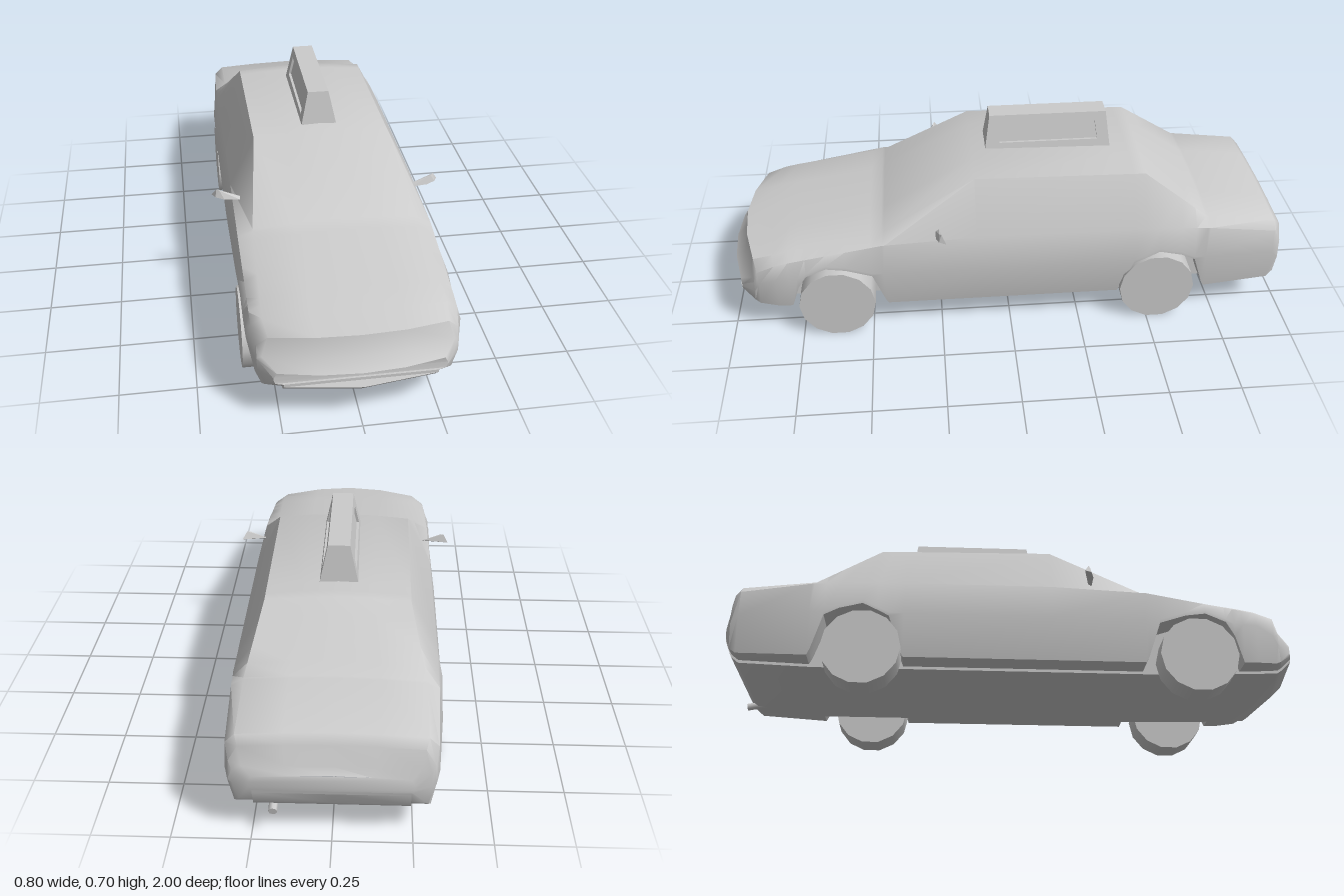
import * as THREE from 'three';
import { toCreasedNormals, mergeVertices } from 'three/addons/utils/BufferGeometryUtils.js';
import { ConvexGeometry } from 'three/addons/geometries/ConvexGeometry.js';

const grey = new THREE.MeshStandardMaterial({ color: 0xcccccc });
const { lerp, clamp } = THREE.MathUtils;

function part(name, geometry, parent) {
  const mesh = new THREE.Mesh(geometry, grey);
  mesh.name = name;
  parent.add(mesh);
  return mesh;
}

// Body stations, front to back:
// z, floor y, sill x, waist x, waist y, shoulder x, shoulder y, top edge x, top edge y, centre y
const stations = [
  [1.0, .16, .26, .27, .18, .27, .19, .26, .21, .215],
  [.965, .125, .29, .315, .19, .315, .23, .30, .24, .25],
  [.95, .115, .30, .32, .22, .315, .27, .28, .305, .32],
  [.85, .11, .315, .34, .25, .325, .30, .29, .325, .338],
  [.45, .10, .32, .345, .26, .33, .37, .28, .39, .405],
  [.12, .10, .32, .35, .26, .33, .385, .24, .568, .584],
  [-.48, .10, .32, .35, .26, .33, .385, .24, .558, .573],
  [-.70, .10, .32, .345, .26, .33, .375, .29, .40, .413],
  [-.95, .11, .30, .325, .25, .32, .34, .29, .37, .382],
  [-.975, .13, .29, .315, .22, .31, .29, .28, .345, .355],
  [-.98, .14, .28, .30, .21, .30, .26, .27, .275, .28],
  [-1.0, .19, .24, .25, .21, .25, .23, .24, .25, .26],
];
// Lower edge of the wheel arches: z, y
const arches = [
  [.78, .10], [.75, .21], [.72, .26], [.65, .29], [.58, .28], [.49, .25], [.44, .10],
  [-.39, .10], [-.44, .25], [-.53, .295], [-.61, .275], [-.66, .25], [-.71, .10],
];

// Row of a table (sorted by falling first column), interpolated at z
function sample(table, z) {
  let i = 0;
  while (i < table.length - 2 && table[i + 1][0] > z) i++;
  const a = table[i], b = table[i + 1];
  const t = clamp((a[0] - z) / (a[0] - b[0]), 0, 1);
  return a.map((v, k) => lerp(v, b[k], t));
}

// Closed outline of the body at z, counter-clockwise from the floor centre
function section(z) {
  const [, floor, sx, wx, wy, hx, hy, tx, ty, cy] = sample(stations, z);
  const arch = Math.max(floor + .01, sample(arches, z)[1]);
  const lx = lerp(sx, wx, clamp((arch - floor) / (wy - floor), 0, 1));
  const half = [
    [0, floor], [.24, floor], [.24, arch], [lx, arch],
    [wx, Math.max(wy, arch + .012)], [hx, hy], [tx, ty],
    [tx * .5, lerp(ty, cy, .7)], [0, cy],
  ];
  const mirrored = half.slice(1, -1).reverse().map(([x, y]) => [-x, y]);
  const nose = .6 * clamp((z - .8) / .15, 0, 1);
  return [...half, ...mirrored].map(([x, y]) => [x, y, z - nose * x * x]);
}

function bodyGeometry() {
  const zs = [...new Set([...stations, ...arches].map(r => r[0]))].sort((a, b) => b - a);
  const rings = zs.map(section);
  const n = rings[0].length, last = rings.length - 1;
  const index = [];
  for (let i = 0; i < last; i++) {
    for (let j = 0; j < n; j++) {
      const a = i * n + j, b = i * n + (j + 1) % n, c = b + n, d = a + n;
      index.push(a, d, c, a, c, b);
    }
  }
  // Nose and tail caps
  for (let j = 0; j < n / 2 - 1; j++) {
    const l = (n - j) % n, k = n - j - 1, e = last * n;
    index.push(j, j + 1, k, j, k, l);
    index.push(e + j, e + k, e + j + 1, e + j, e + l, e + k);
  }
  const geo = new THREE.BufferGeometry();
  geo.setAttribute('position', new THREE.Float32BufferAttribute(rings.flat(2), 3));
  geo.setIndex(index);
  return toCreasedNormals(mergeVertices(geo), .75);
}

// Extrude a (z, y) shape across x and narrow it towards the top
function taperedSign(shape, halfWidth) {
  const geo = new THREE.ExtrudeGeometry(shape, { depth: 2, bevelEnabled: false });
  geo.translate(0, 0, -1);
  geo.rotateY(-Math.PI / 2);
  const p = geo.attributes.position;
  for (let i = 0; i < p.count; i++) {
    const t = (p.getY(i) - .565) / .135;
    p.setX(i, p.getX(i) * (halfWidth - .029 * t));
  }
  geo.computeVertexNormals();
  return geo;
}

const polygon = pts => pts.map(([x, y]) => new THREE.Vector2(x, y));

export function createModel() {
  const car = new THREE.Group();
  car.name = 'car';
  part('body', bodyGeometry(), car);

  // Wheels
  const wheelGeo = new THREE.CylinderGeometry(.135, .135, .1, 14).rotateZ(Math.PI / 2);
  for (const [end, z] of [['front', .62], ['rear', -.53]]) {
    for (const [side, s] of [['Left', 1], ['Right', -1]]) {
      part(end + side + 'Wheel', wheelGeo, car).position.set(s * .298, .135, z);
    }
  }

  // Door mirrors
  for (const [side, s] of [['left', 1], ['right', -1]]) {
    const pts = [
      [.305, .413, .25], [.305, .405, .262], [.385, .443, .243], [.402, .415, .228],
      [.39, .416, .252], [.36, .41, .262], [.375, .44, .25],
    ].map(([x, y, z]) => new THREE.Vector3(s * x, y, z));
    part(side + 'Mirror', new ConvexGeometry(pts), car);
  }

  // Roof sign: frame with recessed side panels
  const sign = new THREE.Group();
  sign.name = 'roofSign';
  car.add(sign);
  const frame = new THREE.Shape(polygon([[-.382, .565], [.072, .565], [.052, .70], [-.365, .70]]));
  const opening = [[-.335, .60], [.018, .60], [.008, .672], [-.325, .672]];
  frame.holes.push(new THREE.Path(polygon(opening)));
  part('signFrame', taperedSign(frame, .066), sign);
  part('signPanel', taperedSign(new THREE.Shape(polygon(opening)), .057), sign);

  // Exhaust pipe
  const pipe = part('exhaustPipe', new THREE.CylinderGeometry(.014, .014, .09, 8), car);
  pipe.rotation.x = Math.PI / 2 - .2;
  pipe.position.set(.18, .117, -.945);

  return car;
}
